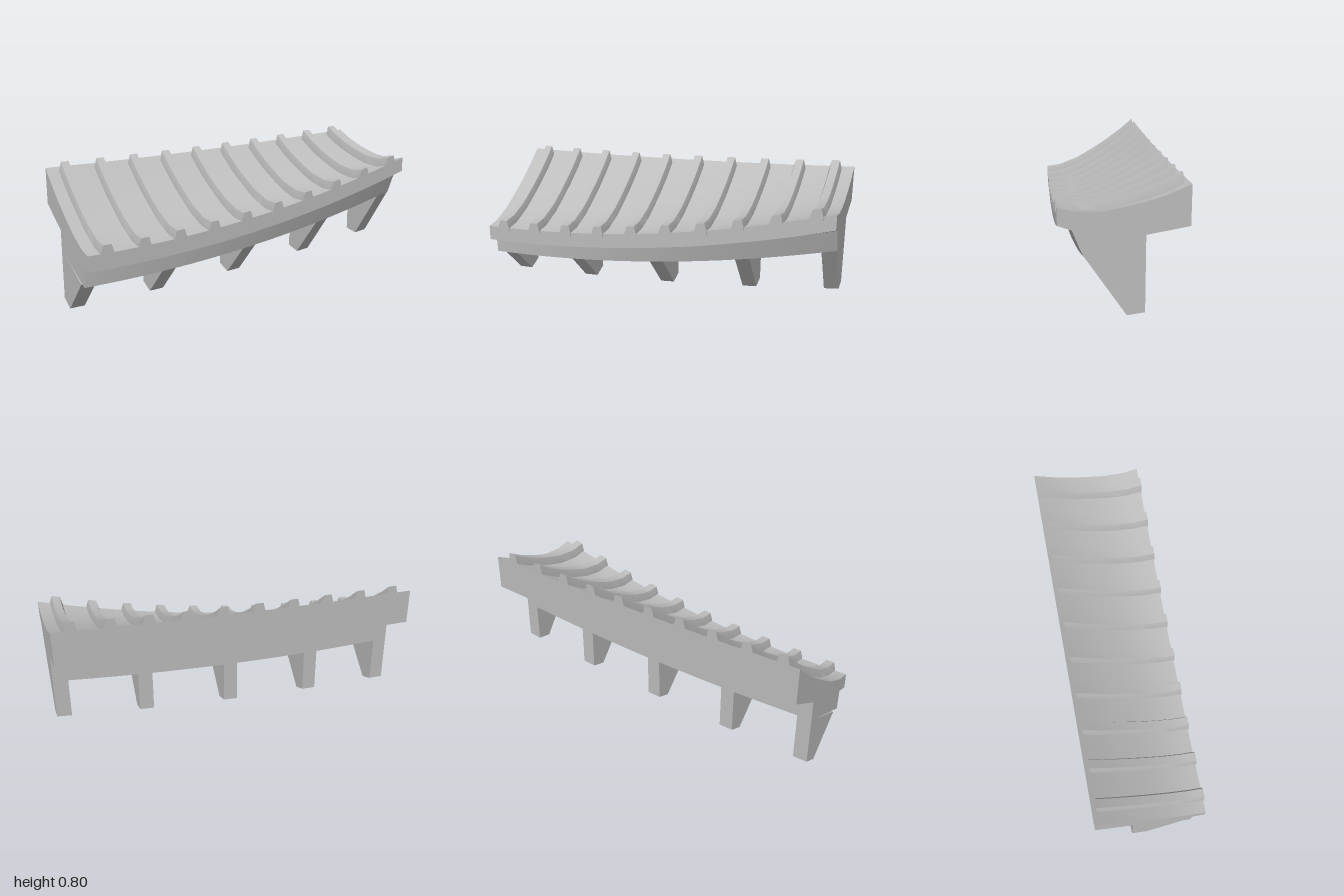
import * as THREE from 'three';
import { toCreasedNormals } from 'three/addons/utils/BufferGeometryUtils.js';

const quad = (a, b, c) => (x) => a + b * x + c * x * x;

// Edge heights along the length
const lipLow = quad(0.365, 0.149, 0.074);
const lipInner = quad(0.358, 0.1325, 0.0745);
const frontTop = (x) => lipLow(x) + 0.083;
const backTop = quad(0.72, 0.03, 0.015);
const backLow = quad(0.524, 0.031, 0.015);
const wallTop = quad(0.456, 0.0625, 0.016);
const wallLow = quad(0.305, 0.04, 0.035);
const girderLow = quad(0.25, 0.125, 0.065);
const girderZ = (x) => 0.207 - 0.0225 * x;
const footFront = quad(0.042, 0.074, 0.031);
const footBack = quad(0.068, 0.062, 0.028);

// Hollow of the deck below the straight line from front to back
const sagZ = [0.3, 0.22, 0.1, 0, -0.1, -0.2, -0.303];
const sagY = [0, 0.034, 0.053, 0.051, 0.044, 0.028, 0];
function deckY(x, z) {
  const zc = THREE.MathUtils.clamp(z, -0.303, 0.3);
  let i = 0;
  while (i < sagZ.length - 2 && zc < sagZ[i + 1]) i++;
  const f = (sagZ[i] - zc) / (sagZ[i] - sagZ[i + 1]);
  const sag = THREE.MathUtils.lerp(sagY[i], sagY[i + 1], f);
  return THREE.MathUtils.lerp(frontTop(x), backTop(x), (0.3 - zc) / 0.603) - sag;
}

// Closed solid through [z, y] outlines placed at the given x positions
function loft(xs, outline) {
  const rings = xs.map((x, i) => outline(x, i));
  const n = rings[0].length;
  const pos = [], index = [];
  rings.forEach((r, i) => r.forEach(([z, y]) => pos.push(xs[i], y, z)));
  for (let i = 0; i < xs.length - 1; i++) {
    for (let j = 0; j < n; j++) {
      const a = i * n + j, b = i * n + (j + 1) % n;
      index.push(a, a + n, b + n, a, b + n, b);
    }
  }
  for (const end of [0, xs.length - 1]) {
    const pts = rings[end].map(([z, y]) => new THREE.Vector2(z, y));
    for (const [a, b, c] of THREE.ShapeUtils.triangulateShape(pts, [])) {
      const area = (pts[b].x - pts[a].x) * (pts[c].y - pts[a].y)
        - (pts[b].y - pts[a].y) * (pts[c].x - pts[a].x);
      const facesPlusX = area < 0;
      const o = end * n;
      if (facesPlusX === (end > 0)) index.push(o + a, o + b, o + c);
      else index.push(o + a, o + c, o + b);
    }
  }
  const g = new THREE.BufferGeometry();
  g.setAttribute('position', new THREE.Float32BufferAttribute(pos, 3));
  g.setIndex(index);
  return toCreasedNormals(g, 0.4);
}

export function createModel() {
  const group = new THREE.Group();
  const grey = new THREE.MeshStandardMaterial({ color: 0xbcbcbc });
  grey.name = 'grey';
  const add = (name, geometry) => {
    const mesh = new THREE.Mesh(geometry, grey);
    mesh.name = name;
    group.add(mesh);
  };

  // Twisting deck with front lip, girder, underside and rear wall below the overhang
  const stations = Array.from({ length: 21 }, (_, i) => -1 + i * 0.1);
  add('deck', loft(stations, (x) => [
    ...sagZ.map((z) => [z, deckY(x, z)]),
    [-0.303, backLow(x)],
    [-0.1, wallTop(x)],
    [-0.1, wallLow(x)],
    [girderZ(x), girderLow(x)],
    [0.235, lipInner(x)],
    [0.3, lipLow(x)],
  ]));

  // Wedge legs, the outer two flush with the ends
  for (const x of [-0.96, -0.5, 0, 0.5, 0.96]) {
    add('leg', loft([x - 0.04, x + 0.04], (s) => [
      [0.184, girderLow(s) + 0.003],
      [-0.1, wallLow(s) + 0.002],
      [-0.1, footBack(s)],
      [-0.015, footFront(s)],
    ]));
  }

  // Raised ribs with sloping sides, following the hollow of the deck
  const ribZ = [0.305, 0.27, 0.22, 0.16, 0.1, 0, -0.1, -0.2, -0.277];
  for (let k = 0; k < 10; k++) {
    const x = -0.9 + k * 0.2;
    const xs = [-0.034, -0.022, 0.022, 0.034].map((d) => x + d);
    add('rib', loft(xs, (s, i) => {
      const outer = i === 0 || i === 3;
      const height = (z) => (outer ? 0.004 : 0.044 - 0.028 * Math.min(z, 0));
      return [
        ...ribZ.map((z) => [z, deckY(s, z) + height(z)]),
        ...[...ribZ].reverse().map((z) => [z, deckY(s, z) - 0.02]),
      ];
    }));
  }
  return group;
}
